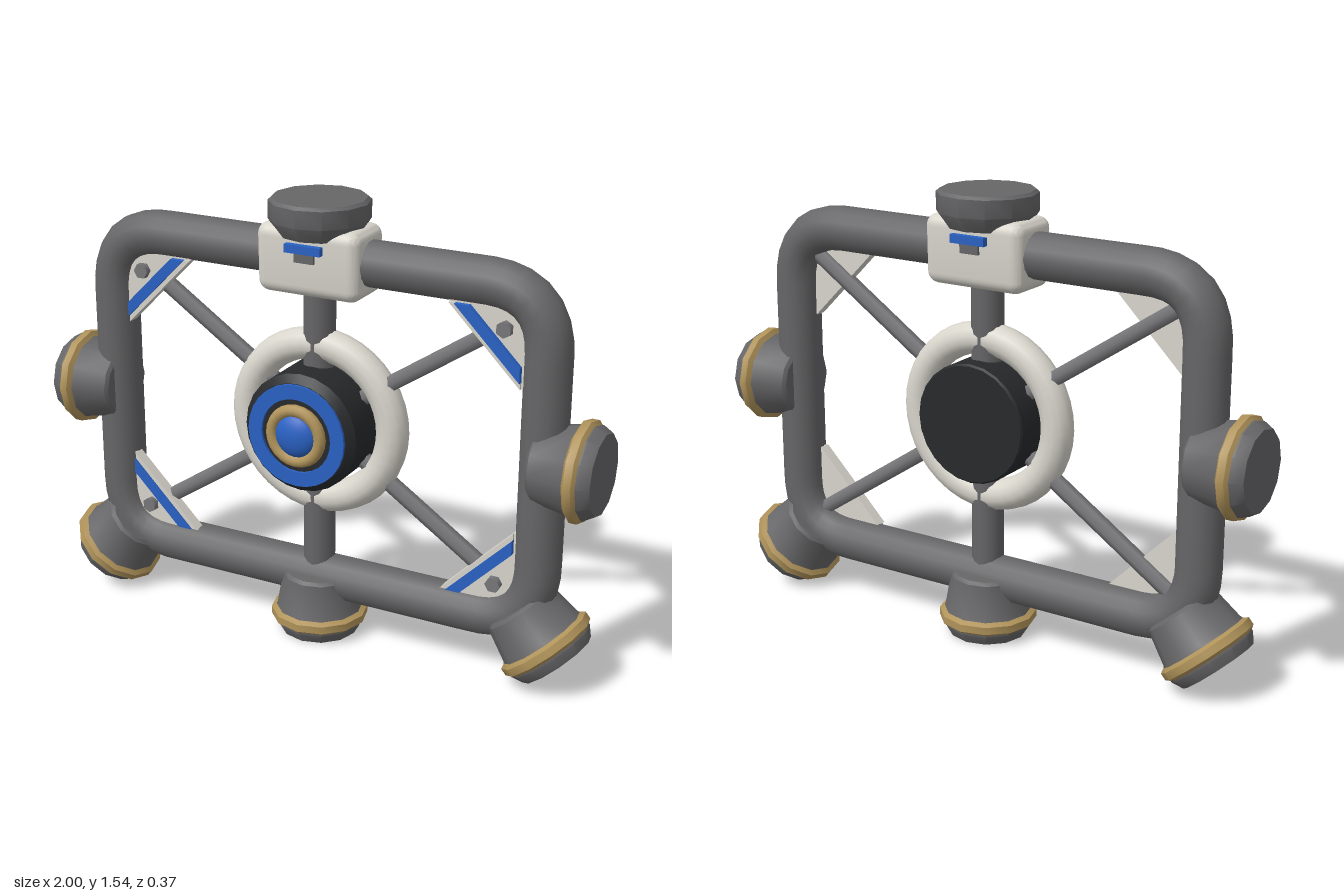
import * as THREE from 'three';
import { toCreasedNormals } from 'three/addons/utils/BufferGeometryUtils.js';
import { RoundedBoxGeometry } from 'three/addons/geometries/RoundedBoxGeometry.js';

const mat = (color) => new THREE.MeshStandardMaterial({ color });
const CY = 0.777; // height of the hub axis
const HX = 0.8, HY = 0.571; // half size of the frame centreline

export function createModel() {
  const grey = mat(0x666668), spokeGrey = mat(0x77777a), white = mat(0xd8d5cc);
  const brass = mat(0xb0935a), blue = mat(0x2a62c4), black = mat(0x27292b);

  const model = new THREE.Group();
  const body = new THREE.Group();
  body.name = 'gyroFrame';
  body.position.set(0, CY, -0.017);
  model.add(body);

  const add = (parent, name, geometry, material, x = 0, y = 0, z = 0) => {
    const mesh = new THREE.Mesh(geometry, material);
    mesh.name = name;
    mesh.position.set(x, y, z);
    parent.add(mesh);
    return mesh;
  };
  const lathe = (pts, sides) => toCreasedNormals(
    new THREE.LatheGeometry(pts.map(([r, y]) => new THREE.Vector2(r, y)), sides), 0.6);

  // Rounded rectangular tube frame
  const R = 0.21;
  const v = (x, y) => new THREE.Vector3(x, y, 0);
  const path = new THREE.CurvePath();
  const corners = [[1, 1], [-1, 1], [-1, -1], [1, -1]];
  corners.forEach(([sx, sy], i) => {
    const [nx, ny] = corners[(i + 1) % 4];
    const along = (a, b, off) => v(a[0] * HX + (b[0] - a[0]) / 2 * off, a[1] * HY + (b[1] - a[1]) / 2 * off);
    const c = [sx, sy], n = [nx, ny], p = corners[(i + 3) % 4];
    path.add(new THREE.QuadraticBezierCurve3(along(c, p, R), v(sx * HX, sy * HY), along(c, n, R)));
    path.add(new THREE.LineCurve3(along(c, n, R), along(n, c, R)));
  });
  add(body, 'tubeFrame', new THREE.TubeGeometry(path, 110, 0.077, 14, true), grey);

  // Bumper feet: grey body and cap with a brass band
  const footGeo = lathe([[0, -0.065], [0.135, -0.065], [0.155, -0.03], [0.155, 0.015],
    [0.147, 0.03], [0.127, 0.145], [0.115, 0.155], [0, 0.155]], 12);
  const bandGeo = lathe([[0.15, -0.028], [0.168, -0.014], [0.168, 0.012], [0.145, 0.026]], 12);
  const addFoot = (name, x, y, ix, iy) => {
    const foot = new THREE.Group();
    foot.name = name;
    foot.position.set(x, y - CY, 0);
    foot.rotation.z = Math.atan2(-ix, iy);
    add(foot, name + 'Body', footGeo, grey);
    add(foot, name + 'Band', bandGeo, brass);
    body.add(foot);
  };
  addFoot('bottomFoot', 0, 0.065, 0, 1);
  for (const s of [1, -1]) {
    const side = s > 0 ? 'left' : 'right';
    addFoot(side + 'Bumper', s * 0.935, CY, -s, 0);
    addFoot(side + 'CornerFoot', s * 0.84, 0.143, -s * 0.65, 0.76);
  }

  // Top clamp with cap and blue tabs
  add(body, 'topCap', lathe([[0, -0.02], [0.135, -0.02], [0.168, 0.03], [0.168, 0.09],
    [0.157, 0.1], [0, 0.1]], 12), grey, 0, 1.445 - CY);
  const clamp = new RoundedBoxGeometry(0.372, 0.232, 0.212, 4, 0.04);
  const cp = clamp.attributes.position;
  for (let i = 0; i < cp.count; i++) {
    // slightly narrower in depth towards the bottom
    cp.setZ(i, cp.getZ(i) * (0.93 + 0.6 * (cp.getY(i) + 0.116) * 0.5));
  }
  clamp.computeVertexNormals();
  add(body, 'topClamp', toCreasedNormals(clamp, 0.6), white, 0, 1.345 - CY);
  for (const s of [1, -1]) {
    add(body, 'clampTab', new THREE.BoxGeometry(0.13, 0.028, 0.05), blue, 0, 1.396 - CY, s * 0.1);
    add(body, 'clampTabStem', new THREE.BoxGeometry(0.07, 0.035, 0.03), grey, 0, 1.367 - CY, s * 0.098);
  }

  // Ring around the hub and the vertical posts
  add(body, 'hubRing', new THREE.TorusGeometry(0.272, 0.055, 14, 40), white);
  for (const s of [1, -1]) {
    add(body, 'post', new THREE.CylinderGeometry(0.055, 0.055, 0.42, 14), grey, 0, s * 0.37);
  }

  // Hub stack, turned along z
  const hub = new THREE.Group();
  hub.name = 'hub';
  hub.rotation.x = Math.PI / 2;
  body.add(hub);
  add(hub, 'hubDrum', lathe([[0, -0.113], [0.2, -0.113], [0.206, -0.106], [0.206, 0.135],
    [0.18, 0.16], [0, 0.16]], 24), black);
  add(hub, 'hubBlueRing', lathe([[0.178, 0.15], [0.178, 0.17], [0.128, 0.17], [0.128, 0.15]], 28), blue);
  const trim = add(hub, 'hubBrassRing', new THREE.TorusGeometry(0.089, 0.021, 10, 24), brass, 0, 0.167);
  trim.rotation.x = Math.PI / 2;
  const dome = add(hub, 'hubDome',
    new THREE.SphereGeometry(0.078, 20, 8, 0, Math.PI * 2, 0, Math.PI / 2), blue, 0, 0.16);
  dome.scale.y = 0.53;

  // Triangular gusset plate, right angle at the origin, legs along -x and -y
  const L = 0.25, back = 0.03;
  const tri = new THREE.Shape([[back, back], [-L, back], [-L, 0], [0, -L], [back, -L]]
    .map(([x, y]) => new THREE.Vector2(x, y)));
  const plateGeo = new THREE.ExtrudeGeometry(tri, { depth: 0.03, bevelEnabled: false });
  const strip = (near, far, depth) => new THREE.ExtrudeGeometry(new THREE.Shape(
    [[-near, 0], [0, -near], [0, -far], [-far, 0]].map(([x, y]) => new THREE.Vector2(x, y))),
  { depth, bevelEnabled: false });
  const blueStripGeo = strip(0.178, 0.228, 0.02);
  const rimGeo = strip(0.228, 0.25, 0.012);
  const boltGeo = new THREE.CylinderGeometry(0.027, 0.027, 0.03, 6);

  // Four diagonal spokes, each with its corner gusset
  const turns = { '1,1': 0, '-1,1': 1, '-1,-1': 2, '1,-1': 3 };
  for (const [sx, sy] of corners) {
    const angle = Math.atan2(sy * 0.535, sx * 0.8);
    const spoke = add(body, 'spoke', new THREE.CylinderGeometry(0.029, 0.029, 0.7, 6),
      spokeGrey, Math.cos(angle) * 0.535, Math.sin(angle) * 0.535);
    spoke.rotation.z = angle - Math.PI / 2;

    const gusset = new THREE.Group();
    gusset.name = 'gusset';
    gusset.position.set(sx * 0.725, sy * 0.497, 0);
    gusset.rotation.z = turns[`${sx},${sy}`] * Math.PI / 2;
    add(gusset, 'gussetPlate', plateGeo, white, 0, 0, 0.002);
    add(gusset, 'gussetBlueStrip', blueStripGeo, blue, 0, 0, 0.03);
    add(gusset, 'gussetRim', rimGeo, white, 0, 0, 0.03);
    add(gusset, 'gussetBolt', boltGeo, spokeGrey, -0.058, -0.06, 0.04).rotation.x = Math.PI / 2;
    body.add(gusset);
  }
  return model;
}
